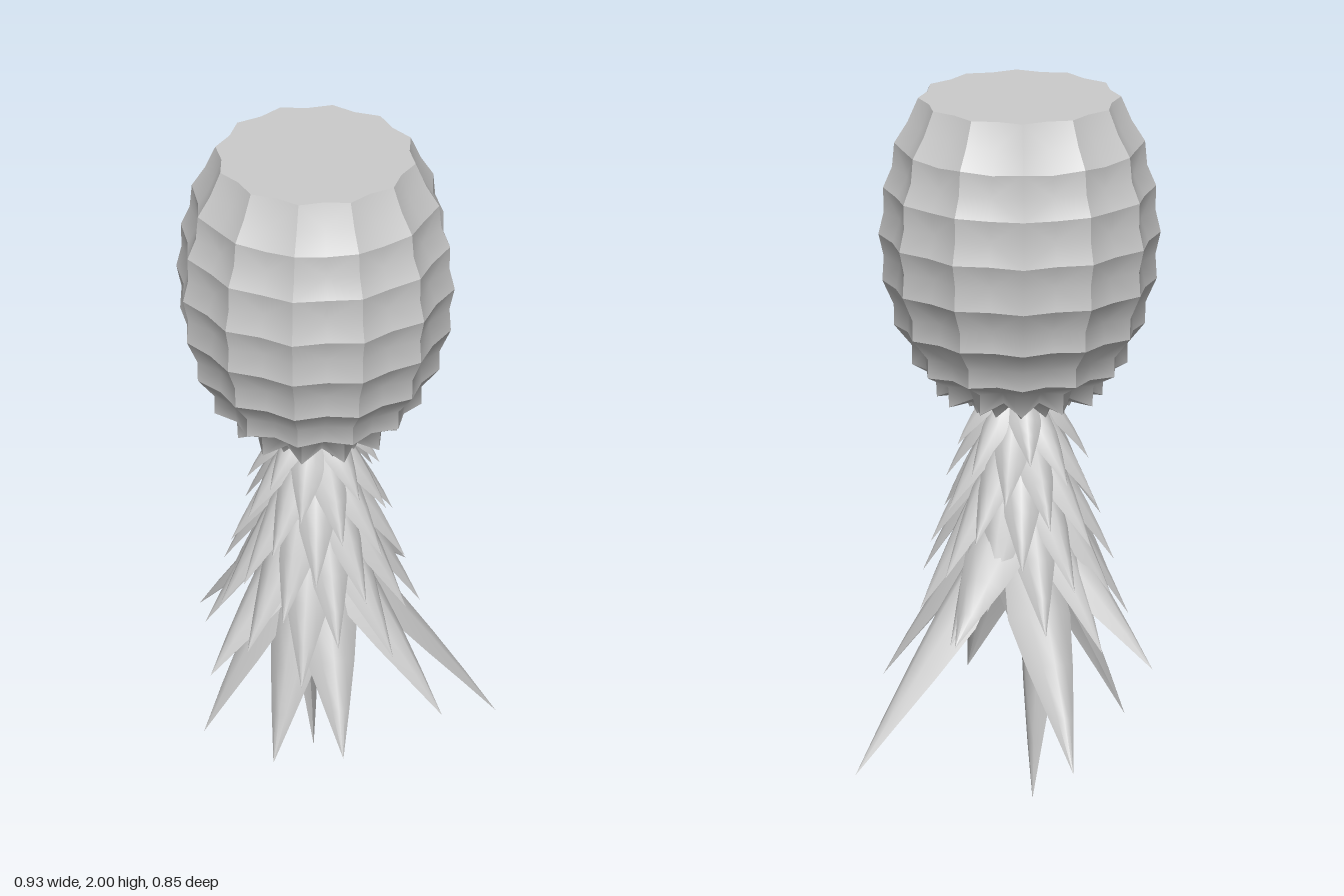
import * as THREE from 'three';

const CX = -0.07, CZ = 0.03; // axis of the fruit
const grey = new THREE.MeshStandardMaterial({ color: 0xcccccc });
const leafGrey = new THREE.MeshStandardMaterial({ color: 0xcccccc, side: THREE.DoubleSide });

function build(positions, index) {
  const g = new THREE.BufferGeometry();
  g.setAttribute('position', new THREE.Float32BufferAttribute(positions, 3));
  g.setIndex(index);
  g.computeVertexNormals();
  return g;
}

// Dimpled fruit: 12 columns of hollow patches, each smooth inside with sharp borders
function fruitGeometry() {
  const rings = [ // ridge y, ridge radius, groove y, groove radius factor
    [2, 0.285, 2, 0.93], [1.93, 0.315, 1.925, 0.925], [1.87, 0.352, 1.86, 0.94],
    [1.8, 0.358, 1.795, 0.92], [1.74, 0.383, 1.735, 0.94], [1.67, 0.381, 1.67, 0.92],
    [1.605, 0.396, 1.605, 0.94], [1.54, 0.381, 1.54, 0.92], [1.47, 0.385, 1.47, 0.94],
    [1.4, 0.353, 1.405, 0.92], [1.34, 0.352, 1.342, 0.93], [1.28, 0.302, 1.28, 0.92],
    [1.225, 0.302, 1.228, 0.9], [1.19, 0.235, 1.195, 0.88], [1.13, 0.232, 1.16, 0.82],
    [1.14, 0.16, 1.15, 0.85], [1.1, 0.14, 1.13, 0.75],
  ];
  const pos = [], idx = [];
  const addPoint = (i, j) => {
    const [y, r, gy, f] = rings[i], a = (j / 24) * Math.PI * 2, groove = j % 2 !== 0;
    const q = groove ? r * f : r;
    pos.push(Math.cos(a) * q, groove ? gy : y, Math.sin(a) * q);
  };
  for (let i = 0; i < rings.length - 1; i += 2) {
    for (let j = 0; j < 24; j += 2) {
      const s = pos.length / 3;
      for (let u = 0; u < 3; u++) for (let v = 0; v < 3; v++) addPoint(i + u, j + v);
      for (const k of [0, 1, 3, 4]) {
        const a = s + k, b = a + 1, c = a + 3, d = a + 4;
        // diagonals run toward the middle of the patch
        if (k === 0 || k === 4) idx.push(a, b, d, a, d, c);
        else idx.push(a, b, c, b, d, c);
      }
    }
  }
  // flat cut end and hidden crown end
  for (const [ring, y] of [[0, 2], [rings.length - 1, 1.14]]) {
    const s = pos.length / 3;
    pos.push(0, y, 0);
    for (let j = 0; j < 24; j++) addPoint(ring, j);
    for (let j = 0; j < 24; j++) {
      const a = s + 1 + j, b = s + 1 + (j + 1) % 24;
      if (ring === 0) idx.push(s, b, a);
      else idx.push(s, a, b);
    }
  }
  return build(pos, idx);
}

// Pointed trough-shaped leaf from root to tip, its back turned toward angle facing
function leafGeometry(root, tip, width, facing) {
  const widths = [0.55, 0.85, 1, 0.72, 0.37, 0];
  const out = new THREE.Vector3(Math.cos(facing), 0, Math.sin(facing));
  const along = tip.clone().sub(root).normalize();
  const side = new THREE.Vector3().crossVectors(along, out).normalize();
  const normal = new THREE.Vector3().crossVectors(side, along).normalize();
  const mid = root.clone().lerp(tip, 0.5).addScaledVector(normal, 0.02);
  const curve = new THREE.QuadraticBezierCurve3(root, mid, tip);
  const pos = [], idx = [];
  widths.forEach((f, i) => {
    const c = curve.getPoint(i / (widths.length - 1)), w = f * width / 2;
    for (const s of [-1, -0.5, 0, 0.5, 1]) {
      const p = c.clone().addScaledVector(side, s * w).addScaledVector(normal, -s * s * w * 0.7);
      pos.push(p.x, p.y, p.z);
    }
    if (i) for (let k = 0; k < 4; k++) {
      const a = (i - 1) * 5 + k;
      idx.push(a, a + 1, a + 5, a + 1, a + 6, a + 5);
    }
  });
  return build(pos, idx);
}

export function createModel() {
  const model = new THREE.Group();
  model.name = 'upturnedPineapple';

  const fruit = new THREE.Mesh(fruitGeometry(), grey);
  fruit.name = 'fruit';
  fruit.position.set(CX, 0, CZ);
  model.add(fruit);

  const crown = new THREE.Group();
  crown.name = 'crown';
  model.add(crown);
  const addLeaf = (name, rootY, rootR, tip, width, facing) => {
    const a = Math.atan2(tip.z - CZ, tip.x - CX);
    const root = new THREE.Vector3(CX + Math.cos(a) * rootR, rootY, CZ + Math.sin(a) * rootR);
    const leaf = new THREE.Mesh(leafGeometry(root, tip, width, facing ?? a), leafGrey);
    leaf.name = name;
    crown.add(leaf);
  };

  // Spiral of overlapping leaves, growing longer away from the fruit
  const count = 42, golden = Math.PI * (3 - Math.sqrt(5));
  for (let i = 0; i < count; i++) {
    const t = i / (count - 1), a = i * golden + 0.3;
    const r = 0.18 + 0.14 * t;
    const tip = new THREE.Vector3(CX + Math.cos(a) * r, 1.0 - 0.56 * t, CZ + Math.sin(a) * r);
    addLeaf('leaf', 1.18 - 0.2 * t, 0.07 - 0.02 * t, tip, 0.09 + 0.08 * t);
  }

  // Long leaves at the end of the crown: tip, then an optional facing angle
  const longTips = [
    [0.465, 0.1, 0.04], [0.03, 0.15, -0.42], [-0.02, 0, -0.12, 0], [-0.12, 0.25, 0.39],
    [-0.385, 0.17, -0.02], [-0.27, 0.18, 0.23], [0.2, 0.29, 0.32], [-0.28, 0.39, -0.34],
    [0.285, 0.5, -0.2], [-0.41, 0.42, 0.1],
  ];
  for (const [x, y, z, facing] of longTips) {
    addLeaf('longLeaf', 0.8 + y * 0.2, 0.05, new THREE.Vector3(x, y, z), 0.185, facing);
  }
  return model;
}
